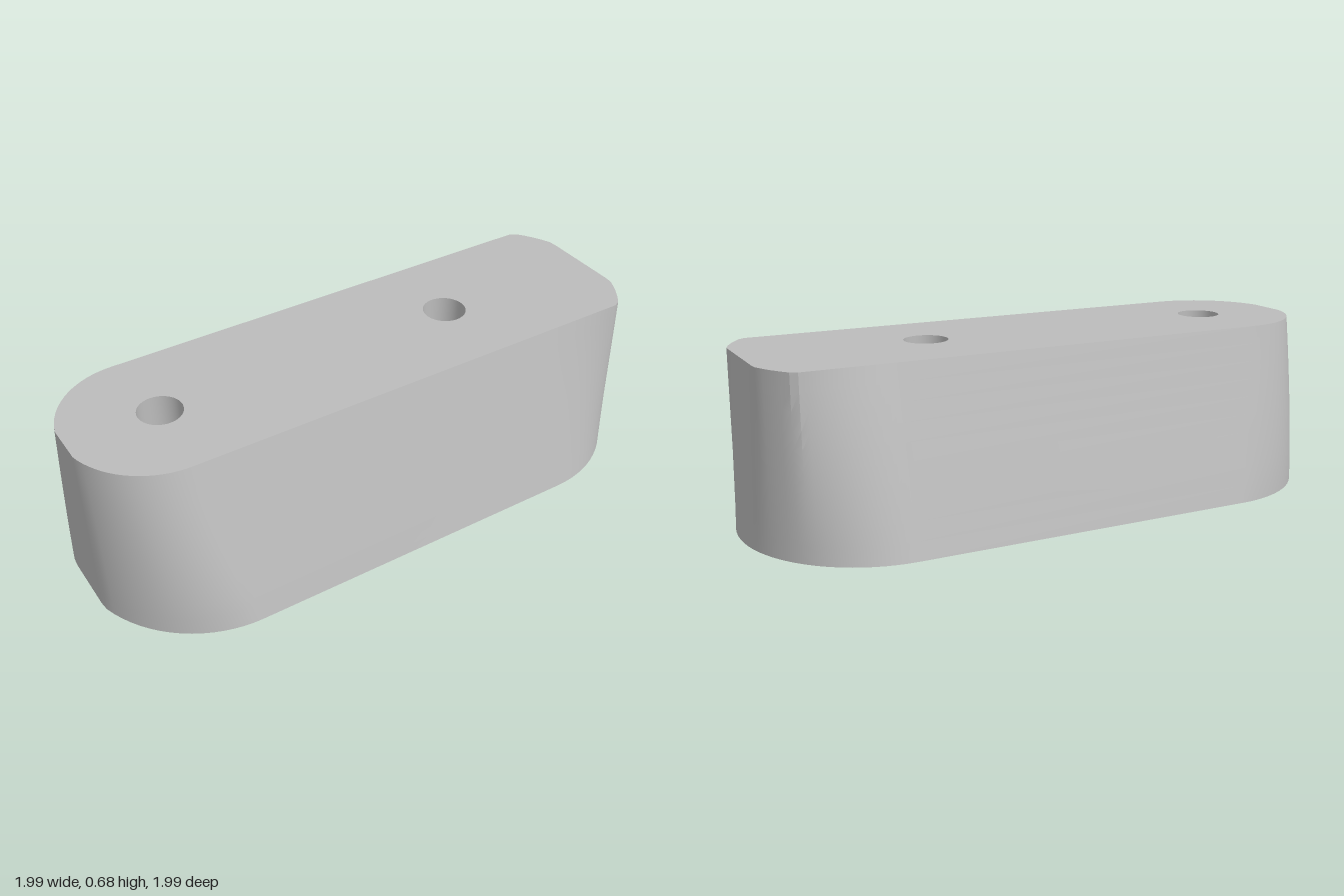
import * as THREE from 'three';
import { toCreasedNormals } from 'three/addons/utils/BufferGeometryUtils.js';

const HEIGHT = 0.68;
const HOLE_RADIUS = 0.086;
const HOLES = [-0.81, 0.445]; // positions along the long axis
const END_STEPS = 40;
const LEVELS = 10;

// One ruling of the tapered wall: bottom point, top point and easing
function makeRulings() {
  const rulings = [];
  for (let k = 0; k <= END_STEPS; k++) {
    // blunt end: top is the base outline trimmed by the narrower sides and a flat chord
    const a = -Math.PI / 2 + (Math.PI * k) / END_STEPS;
    const u = 0.7 + 0.495 * Math.cos(a), v = 0.51 * Math.sin(a);
    rulings.push({
      bottom: [u, v],
      top: [Math.min(u, 1.16), THREE.MathUtils.clamp(v, -0.345, 0.345)],
      ease: 1,
    });
  }
  for (let k = 0; k <= END_STEPS; k++) {
    // round end: narrows to a smaller rounded outline
    const a = Math.PI / 2 + (Math.PI * k) / END_STEPS;
    const c = Math.cos(a), s = Math.sin(a);
    rulings.push({
      bottom: [Math.max(-0.7 + 0.495 * c, -1.175), 0.51 * s],
      top: [Math.max(-0.85 + 0.335 * c, -1.175), 0.345 * s],
      ease: 1 + 0.5 * Math.min(1, -c * 1.5),
    });
  }
  return rulings;
}

function makeWall(rulings) {
  const positions = [], index = [], n = rulings.length;
  for (let j = 0; j <= LEVELS; j++) {
    for (const { bottom, top, ease } of rulings) {
      const t = Math.pow(j / LEVELS, ease);
      positions.push(
        THREE.MathUtils.lerp(bottom[0], top[0], t),
        (HEIGHT * j) / LEVELS,
        THREE.MathUtils.lerp(bottom[1], top[1], t));
    }
  }
  for (let j = 0; j < LEVELS; j++) {
    for (let i = 0; i < n; i++) {
      const a = j * n + i, b = j * n + ((i + 1) % n);
      index.push(a, a + n, b, b, a + n, b + n);
    }
  }
  const geometry = new THREE.BufferGeometry();
  geometry.setAttribute('position', new THREE.Float32BufferAttribute(positions, 3));
  geometry.setIndex(index);
  return toCreasedNormals(geometry, 0.35);
}

// Flat face with the two screw holes
function makeCap(points) {
  const shape = new THREE.Shape(points.map(([u, v]) => new THREE.Vector2(u, v)));
  for (const u of HOLES) {
    shape.holes.push(new THREE.Path().absarc(u, 0, HOLE_RADIUS, 0, Math.PI * 2, true));
  }
  return new THREE.ShapeGeometry(shape, 24);
}

export function createModel() {
  const model = new THREE.Group();
  model.name = 'spacerBlock';
  const grey = new THREE.MeshStandardMaterial({ color: 0xbcbcbc });
  grey.name = 'grey';

  const add = (name, geometry) => {
    const mesh = new THREE.Mesh(geometry, grey);
    mesh.name = name;
    model.add(mesh);
    return mesh;
  };

  const rulings = makeRulings();
  add('sideWall', makeWall(rulings));
  add('topFace', makeCap(rulings.map((r) => r.top)).rotateX(-Math.PI / 2).translate(0, HEIGHT, 0));
  add('bottomFace', makeCap(rulings.map((r) => r.bottom)).rotateX(Math.PI / 2));

  // Hole linings face inwards (profile runs from top to bottom)
  const profile = [new THREE.Vector2(HOLE_RADIUS, HEIGHT), new THREE.Vector2(HOLE_RADIUS, 0)];
  HOLES.forEach((u, i) => {
    add(`holeLining${i + 1}`, new THREE.LatheGeometry(profile, 48)).position.x = u;
  });

  // The block lies diagonally
  model.rotation.y = Math.PI / 4;
  return model;
}
